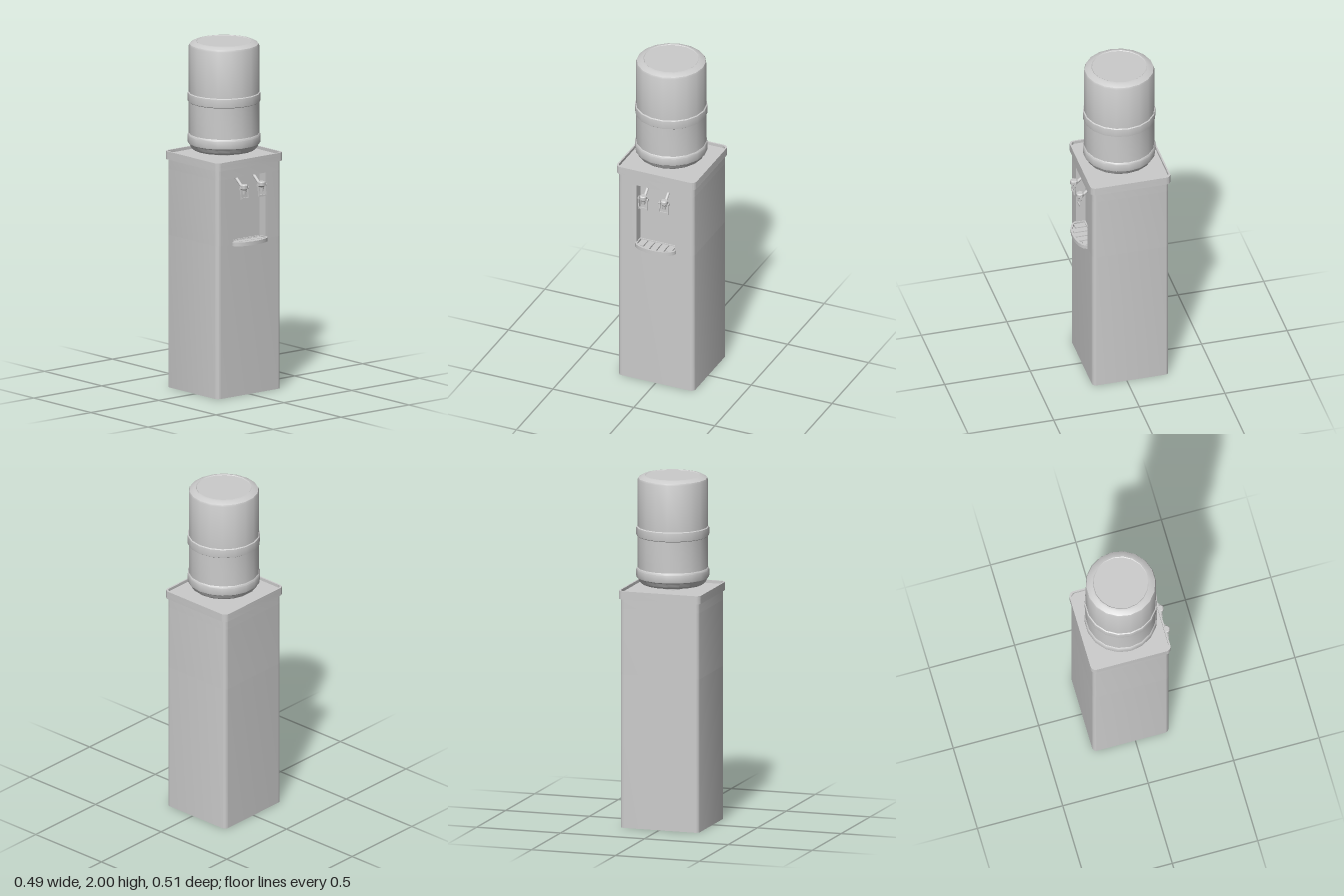
import * as THREE from 'three';
import { toCreasedNormals } from 'three/addons/utils/BufferGeometryUtils.js';

const material = new THREE.MeshStandardMaterial({ color: 0xcccccc });
const CZ = -0.024; // depth centre of cabinet

function add(parent, name, geometry, x = 0, y = 0, z = 0) {
  const mesh = new THREE.Mesh(geometry, material);
  mesh.name = name;
  mesh.position.set(x, y, z);
  parent.add(mesh);
  return mesh;
}

// Plan outlines are drawn with shape y = -z, then stood up along y.
function extrudeUp(shape, height) {
  const geo = new THREE.ExtrudeGeometry(shape, { depth: height, bevelEnabled: false, curveSegments: 6 });
  geo.rotateX(-Math.PI / 2);
  return toCreasedNormals(geo, 0.6);
}

// Rounded rectangle; an optional notch is cut into the front edge.
function roundedPlan(hw, hd, r, notch, Type = THREE.Shape) {
  const s = new Type();
  const f = -CZ - hd, b = -CZ + hd;
  s.moveTo(-hw + r, f);
  if (notch) {
    s.lineTo(-notch.hw, f);
    s.lineTo(-notch.hw, f + notch.depth);
    s.lineTo(notch.hw, f + notch.depth);
    s.lineTo(notch.hw, f);
  }
  s.lineTo(hw - r, f);
  s.absarc(hw - r, f + r, r, -Math.PI / 2, 0);
  s.lineTo(hw, b - r);
  s.absarc(hw - r, b - r, r, 0, Math.PI / 2);
  s.lineTo(-hw + r, b);
  s.absarc(-hw + r, b - r, r, Math.PI / 2, Math.PI);
  s.lineTo(-hw, f + r);
  s.absarc(-hw + r, f + r, r, Math.PI, Math.PI * 1.5);
  return s;
}

// Tray outline: straight inside the alcove, bowed at the front.
function trayPlan(hw, back, front, bow, Type = THREE.Shape) {
  const s = new Type();
  s.moveTo(hw, -back);
  s.lineTo(-hw, -back);
  s.lineTo(-hw, -front);
  s.absellipse(0, -front, hw, bow, Math.PI, Math.PI * 2);
  s.lineTo(hw, -back);
  return s;
}

function cylinderBetween(a, b, r) {
  return new THREE.TubeGeometry(new THREE.LineCurve3(new THREE.Vector3(...a), new THREE.Vector3(...b)), 1, r, 10);
}

function makeTap(name, x) {
  const tap = new THREE.Group();
  tap.name = name;
  tap.position.set(x, 0, 0.228);
  // Supply pipe running back into the alcove
  add(tap, 'supplyPipe', cylinderBetween([0, 1.255, -0.076], [0, 1.2, -0.012], 0.009));
  // Valve body and spout
  const profile = [[0, 1.222], [0.016, 1.222], [0.021, 1.217], [0.021, 1.198], [0.013, 1.19], [0.011, 1.166], [0, 1.166]];
  const body = new THREE.LatheGeometry(profile.reverse().map(p => new THREE.Vector2(...p)), 16);
  add(tap, 'valveBody', toCreasedNormals(body, 0.6));
  // Pivot axle with end caps
  add(tap, 'pivotAxle', cylinderBetween([-0.031, 1.2, 0], [0.031, 1.2, 0], 0.003));
  for (const s of [-1, 1]) {
    add(tap, 'axleCap', new THREE.CylinderGeometry(0.008, 0.008, 0.005, 10).rotateZ(Math.PI / 2), s * 0.029, 1.2, 0);
    add(tap, 'leverArm', new THREE.BoxGeometry(0.004, 0.075, 0.007).rotateX(-0.1), s * 0.026, 1.178, 0.002);
  }
  // Push bar of the lever
  add(tap, 'leverBar', new THREE.BoxGeometry(0.056, 0.01, 0.007), 0, 1.141, 0.004);
  return tap;
}

export function createModel() {
  const model = new THREE.Group();
  model.name = 'waterDispenser';

  // Cabinet in three levels, the middle one holding the alcove
  const cabinet = new THREE.Group();
  cabinet.name = 'cabinet';
  model.add(cabinet);
  const notch = { hw: 0.119, depth: 0.055 };
  const levels = [['cabinetBase', 0, 0.88], ['cabinetAlcove', 0.88, 1.26, notch], ['cabinetHead', 1.26, 1.33]];
  for (const [name, y0, y1, cut] of levels) {
    add(cabinet, name, extrudeUp(roundedPlan(0.235, 0.223, 0.025, cut), y1 - y0), 0, y0);
  }

  // Lid with raised rim
  const lid = new THREE.Group();
  lid.name = 'lid';
  model.add(lid);
  add(lid, 'lidPlate', extrudeUp(roundedPlan(0.245, 0.234, 0.03), 0.03), 0, 1.315);
  const rim = roundedPlan(0.245, 0.234, 0.03);
  rim.holes.push(roundedPlan(0.236, 0.225, 0.03, null, THREE.Path));
  add(lid, 'lidRim', extrudeUp(rim, 0.017), 0, 1.345);

  // Bottle with neck, two ribs and a bevelled top
  const profile = [
    [0, 1.34], [0.042, 1.34], [0.042, 1.378], [0.172, 1.378], [0.188, 1.39], [0.196, 1.41],
    [0.204, 1.416], [0.206, 1.425], [0.206, 1.46], [0.204, 1.467], [0.199, 1.472],
    [0.199, 1.652], [0.205, 1.656], [0.206, 1.664], [0.206, 1.696], [0.205, 1.704], [0.199, 1.708],
    [0.199, 1.975], [0.195, 1.985], [0.172, 1.998], [0.158, 2], [0.154, 1.997], [0, 1.997]
  ].map(p => new THREE.Vector2(...p));
  const bottle = new THREE.LatheGeometry(profile, 18).rotateY(Math.PI / 2);
  add(model, 'bottle', toCreasedNormals(bottle, 0.6), -0.003, 0, -0.02);

  // Drip tray with slatted grille
  const tray = new THREE.Group();
  tray.name = 'dripTray';
  model.add(tray);
  add(tray, 'trayFloor', extrudeUp(trayPlan(0.124, 0.146, 0.2, 0.055), 0.008), 0, 0.87);
  const trayRim = trayPlan(0.124, 0.146, 0.2, 0.055);
  trayRim.holes.push(trayPlan(0.112, 0.154, 0.199, 0.044, THREE.Path));
  add(tray, 'trayRim', extrudeUp(trayRim, 0.014), 0, 0.878);
  for (let i = -2; i <= 2; i++) {
    const x = i * 0.043;
    const front = 0.2 + 0.045 * Math.sqrt(1 - (Math.abs(x) + 0.018) ** 2 / 0.112 ** 2);
    add(tray, 'grilleSlat', new THREE.BoxGeometry(0.035, 0.01, front - 0.15), x, 0.883, (front + 0.15) / 2);
  }

  // Pair of taps
  model.add(makeTap('rightTap', -0.064), makeTap('leftTap', 0.065));
  return model;
}
